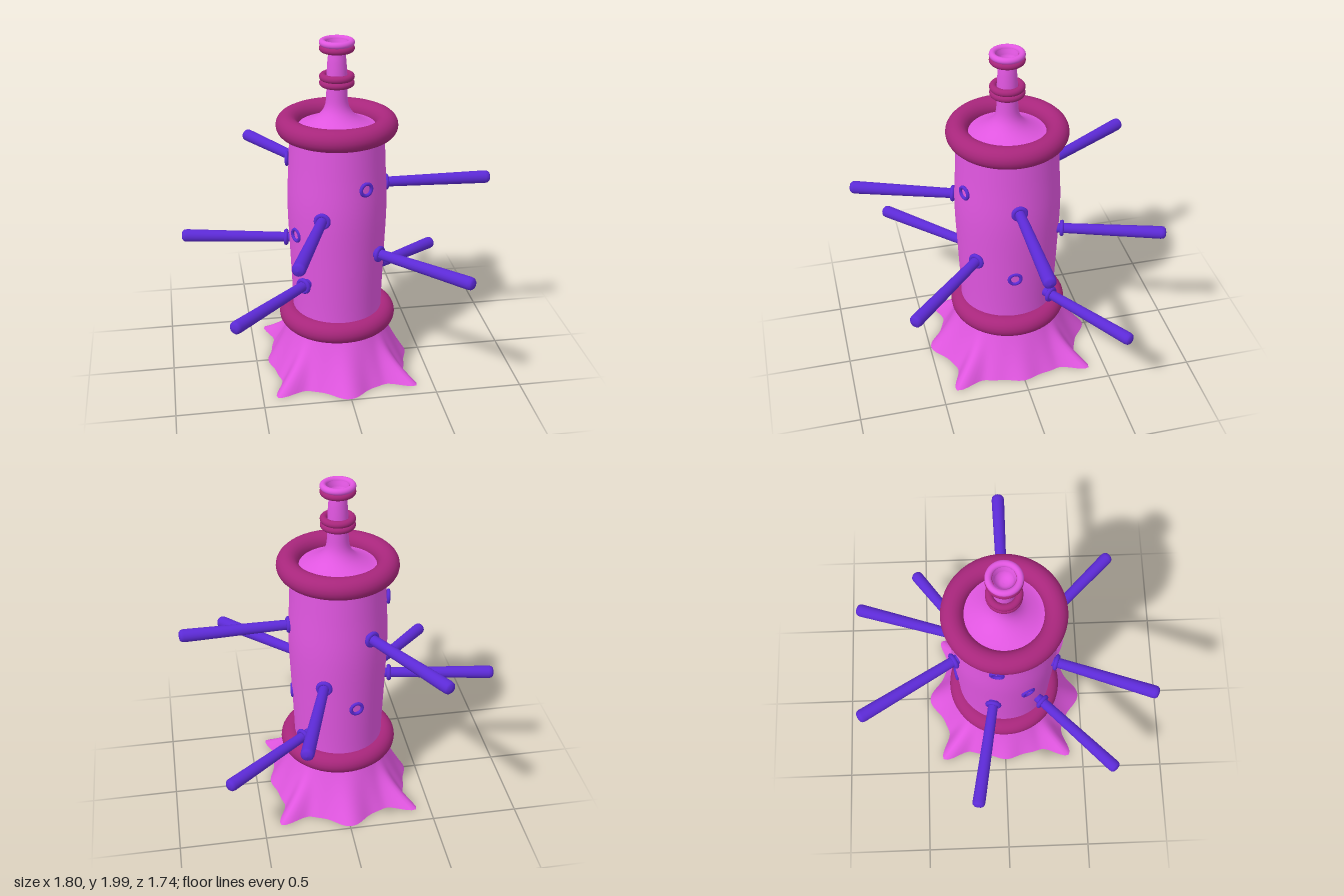
import * as THREE from 'three';
import { ParametricGeometry } from 'three/addons/geometries/ParametricGeometry.js';

const material = (color, side = THREE.FrontSide) => new THREE.MeshStandardMaterial({ color, side });
const v2 = (pairs) => pairs.map(([r, y]) => new THREE.Vector2(r, y));
const smooth = (pairs, n) => new THREE.SplineCurve(v2(pairs)).getPoints(n);

export function createModel() {
  const model = new THREE.Group();
  const pink = material(0xe056e0, THREE.DoubleSide);
  const magenta = material(0xa8267c);
  const purple = material(0x5c2ad6);

  const add = (name, geometry, mat, parent = model) => {
    const mesh = new THREE.Mesh(geometry, mat);
    mesh.name = name;
    parent.add(mesh);
    return mesh;
  };

  // Slightly oval, gently bulging hollow trunk
  const trunk = add('trunk', new THREE.LatheGeometry(
    smooth([[0.28, 0.28], [0.282, 0.45], [0.295, 0.75], [0.306, 1.05], [0.295, 1.3], [0.285, 1.52]], 24), 64), pink);
  trunk.scale.x = 0.93;

  // Dished top that sweeps up into the neck
  add('neck', new THREE.LatheGeometry(
    smooth([[0.28, 1.52], [0.22, 1.51], [0.15, 1.535], [0.095, 1.575], [0.065, 1.63],
      [0.058, 1.72], [0.057, 1.8], [0.052, 1.88], [0.047, 1.94], [0.06, 1.985]], 50), 40), pink);
  add('neckFloor', new THREE.LatheGeometry(
    smooth([[0.055, 1.97], [0.045, 1.945], [0.025, 1.925], [0, 1.92]], 10), 32), pink);

  // Thick hoops at both ends of the trunk, thin ones on the neck
  const hoop = (name, y, radius, tube, mat) => {
    const mesh = add(name, new THREE.TorusGeometry(radius, tube, 20, 64), mat);
    mesh.rotation.x = Math.PI / 2;
    mesh.position.y = y;
  };
  hoop('topHoop', 1.514, 0.28, 0.063, magenta);
  hoop('bottomHoop', 0.333, 0.28, 0.063, magenta);
  hoop('neckRing', 1.755, 0.078, 0.02, magenta);
  hoop('neckRing', 1.79, 0.078, 0.02, magenta);
  hoop('neckRing', 1.95, 0.078, 0.02, magenta);
  hoop('rimRing', 1.982, 0.08, 0.018, pink);

  // Flared skirt with four corner spikes and a soft point front and back
  const pulse = (angle, centre, width) => {
    const d = Math.atan2(Math.sin(angle - centre), Math.cos(angle - centre));
    return Math.exp(-((d / width) ** 2));
  };
  const skirt = (u, v, target) => {
    const a = u * Math.PI * 2;
    const top = 0.275 + 0.01 * Math.cos(2 * a);
    let r = THREE.MathUtils.lerp(top, 0.415, 0.75 * v + 0.25 * v * v);
    for (let i = 0; i < 4; i++) r += 0.17 * v ** 2.4 * pulse(a, Math.PI / 4 + i * Math.PI / 2, 0.13);
    for (let i = 0; i < 2; i++) r += 0.065 * v ** 1.3 * pulse(a, i * Math.PI, 0.28);
    r += 0.008 * v * v * Math.cos(12 * a);
    target.set(r * Math.sin(a), 0.32 * (1 - v) + 0.01 * v, r * Math.cos(a));
  };
  add('skirt', new ParametricGeometry(skirt, 160, 20), pink);

  // Round-tipped spines, each with a collar: root, then tip
  const spines = [
    [[0.12, 0.885, -0.27], [0.31, 0.88, -0.87]],
    [[0.22, 0.495, -0.19], [0.71, 0.465, -0.55]],
    [[0.26, 1.145, 0], [0.905, 1.135, -0.005]],
    [[0.19, 0.8, 0.215], [0.645, 0.795, 0.67]],
    [[-0.12, 1.055, 0.27], [-0.335, 1.055, 0.865]],
    [[-0.21, 0.625, 0.205], [-0.66, 0.625, 0.645]],
    [[-0.265, 0.8, -0.07], [-0.895, 0.805, -0.18]],
    [[-0.13, 1.18, -0.265], [-0.455, 1.18, -0.82]],
  ];
  const up = new THREE.Vector3(0, 1, 0);
  for (const [root, tip] of spines) {
    const from = new THREE.Vector3(...root);
    const axis = new THREE.Vector3(...tip).sub(from);
    const length = axis.length();
    const group = new THREE.Group();
    group.name = 'spine';
    group.position.copy(from);
    group.quaternion.setFromUnitVectors(up, axis.normalize());
    add('spineShaft', new THREE.LatheGeometry(v2([
      [0.028, -0.02], [0.037, length - 0.03], [0.034, length - 0.014], [0.024, length - 0.004], [0, length],
    ]), 20), purple, group);
    const collar = add('spineCollar', new THREE.TorusGeometry(0.035, 0.013, 10, 24), purple, group);
    collar.rotation.x = Math.PI / 2;
    collar.position.y = 0.025;
    model.add(group);
  }

  // Empty sockets lying flat on the trunk wall
  const sockets = [
    [0.12, 1.22, 0.275], [-0.28, 1.305, -0.05], [-0.06, 0.72, -0.29],
    [-0.255, 0.905, 0.13], [0.27, 0.675, 0.02],
  ];
  for (const [x, y, z] of sockets) {
    const ring = add('socketRing', new THREE.TorusGeometry(0.034, 0.01, 10, 28), purple);
    ring.position.set(x, y, z);
    ring.lookAt(x * 2, y, z * 2);
  }

  model.position.set(-0.007, 0, 0.005);
  const root = new THREE.Group();
  root.name = 'spinyBottle';
  root.add(model);
  return root;
}
